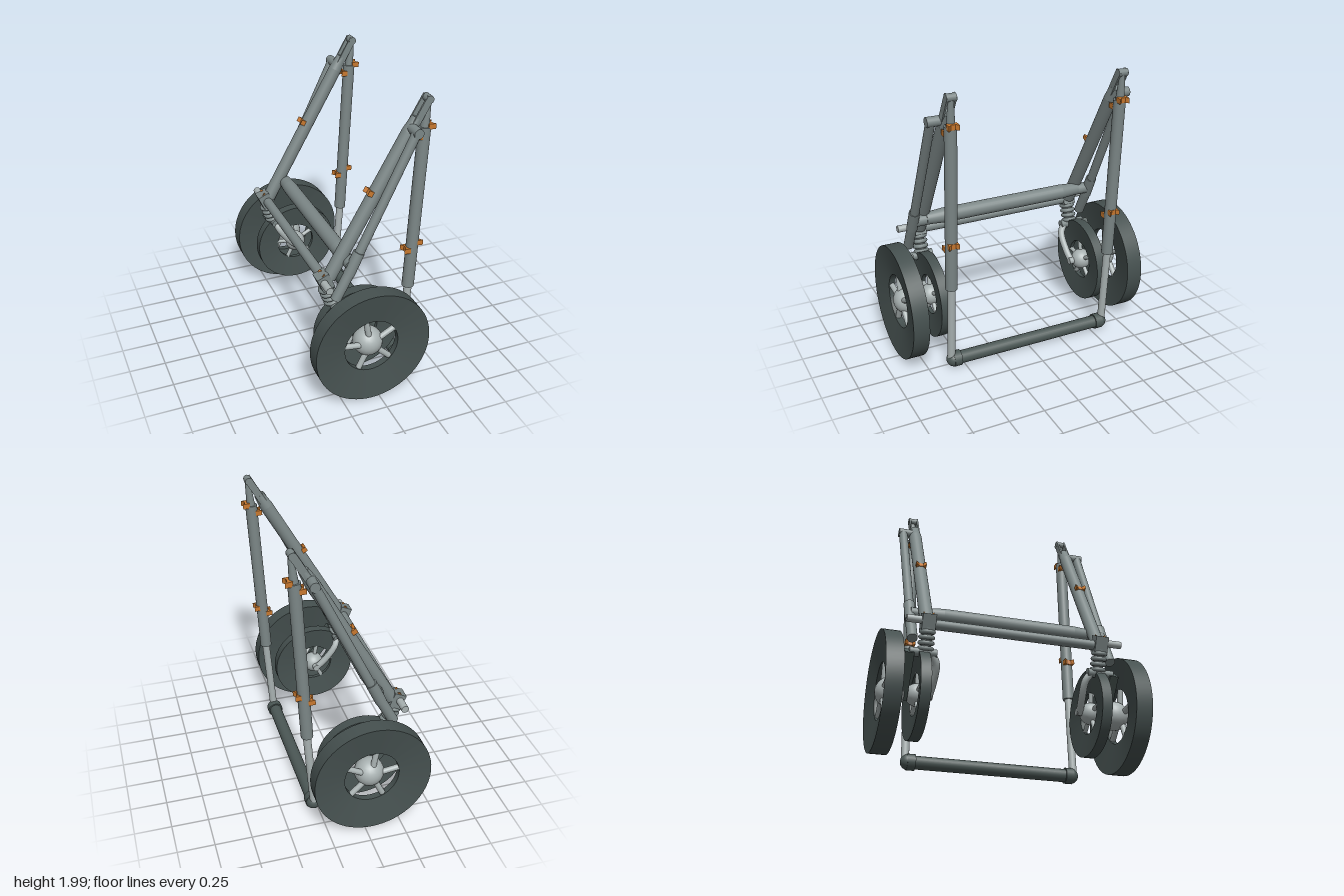
import * as THREE from 'three';
import { toCreasedNormals } from 'three/addons/utils/BufferGeometryUtils.js';

const flat = (name, color) => {
  const m = new THREE.MeshStandardMaterial({ color });
  m.name = name;
  return m;
};

export function createModel() {
  const steel = flat('steel grey', 0x7c8787);
  const light = flat('light metal', 0xa9b2b2);
  const dark = flat('dark metal', 0x4c5856);
  const rubber = flat('dark rubber', 0x465150);
  const orange = flat('orange', 0xc9792f);

  const root = new THREE.Group();
  root.name = 'landingGear';
  const v = (x, y, z) => new THREE.Vector3(x, y, z);
  const UP = v(0, 1, 0);

  const add = (parent, name, geo, mat, x = 0, y = 0, z = 0, rz = 0) => {
    const m = new THREE.Mesh(geo, mat);
    m.name = name;
    m.position.set(x, y, z);
    m.rotation.z = rz;
    parent.add(m);
    return m;
  };
  // Round bar between two points, r1 at a and r2 at b
  const rod = (parent, name, mat, a, b, r1, r2 = r1) => {
    const d = b.clone().sub(a);
    const m = add(parent, name, new THREE.CylinderGeometry(r2, r1, d.length(), 24), mat);
    m.position.copy(a).add(b).multiplyScalar(0.5);
    m.quaternion.setFromUnitVectors(UP, d.normalize());
    return m;
  };
  const ball = (parent, name, mat, p, r) =>
    add(parent, name, new THREE.SphereGeometry(r, 24, 16), mat, p.x, p.y, p.z);

  // Dished wheel with an open centre, spokes and a round hub
  const wheel = (parent, name, z, R, w, hubZ, hubR) => {
    const g = new THREE.Group();
    g.name = name;
    g.position.set(-0.05, 0.41, z);
    parent.add(g);
    const ri = R * 0.47, h = w / 2;
    const profile = [[ri, -h * 0.4], [R, -h], [R, h], [ri, h * 0.4], [ri, -h * 0.4]]
      .map(([x, y]) => new THREE.Vector2(x, y));
    const tyre = new THREE.LatheGeometry(profile, 64);
    tyre.rotateX(Math.PI / 2);
    add(g, 'tyre', toCreasedNormals(tyre, 0.5), rubber);
    ball(g, 'hub', light, v(0, 0, hubZ), hubR);
    for (let i = 0; i < 5; i++) {
      const a = 1.75 + (i * Math.PI * 2) / 5;
      rod(g, 'spoke', light, v(0, 0, 0), v(Math.cos(a) * (ri + 0.01), Math.sin(a) * (ri + 0.01), 0), R * 0.05);
    }
  };

  // Small orange clip with a notched outer face
  const clipShape = new THREE.Shape([[-0.02, -0.035], [0.03, -0.035], [0.012, -0.015],
    [0.012, 0.015], [0.03, 0.035], [-0.02, 0.035]].map(([x, y]) => new THREE.Vector2(x, y)));
  const clipGeo = new THREE.ExtrudeGeometry(clipShape, { depth: 0.036, bevelEnabled: false });
  clipGeo.translate(0, 0, -0.018);
  clipGeo.rotateX(Math.PI / 2);

  for (const s of [1, -1]) {
    const g = new THREE.Group();
    g.name = s > 0 ? 'frontSide' : 'backSide';
    root.add(g);
    const Z = s * 0.595, ZS = s * 0.685;

    // Telescoping leg
    rod(g, 'lowerLeg', light, v(0.28, 0.06, Z), v(0.325, 0.66, Z), 0.027);
    rod(g, 'upperLeg', steel, v(0.322, 0.64, Z), v(0.387, 1.79, Z), 0.041);
    rod(g, 'legTip', steel, v(0.387, 1.78, Z), v(0.405, 1.96, Z), 0.03, 0.018);
    rod(g, 'footCap', dark, v(0.28, 0.06, s * 0.53), v(0.28, 0.06, s * 0.585), 0.055);
    ball(g, 'footBall', dark, v(0.28, 0.06, s * 0.575), 0.053);

    // Diagonal beam with a forked top
    rod(g, 'beam', steel, v(-0.25, 0.84, Z), v(0.28, 1.77, Z), 0.046, 0.046);
    rod(g, 'beamTaper', steel, v(0.28, 1.77, Z), v(0.33, 1.86, Z), 0.046, 0.034);
    for (const k of [-1, 1]) {
      add(g, 'forkProng', new THREE.BoxGeometry(0.05, 0.2, 0.012), steel, 0.355, 1.9, Z + k * 0.027, -0.52);
    }
    rod(g, 'topPin', steel, v(0.4, 1.973, Z - 0.034), v(0.4, 1.973, Z + 0.034), 0.026);

    // Outer strut with a pivot and a lower sleeve
    rod(g, 'strut', steel, v(-0.1, 0.99, ZS), v(0.29, 1.8, ZS), 0.031);
    rod(g, 'strutPivot', steel, v(0.29, 1.8, s * 0.6), v(0.29, 1.8, s * 0.717), 0.033);
    rod(g, 'strutSleeve', steel, v(-0.15, 0.89, ZS), v(-0.08, 1.04, ZS), 0.038);
    rod(g, 'strutEnd', steel, v(-0.24, 0.72, ZS), v(-0.14, 0.91, ZS), 0.035);
    rod(g, 'strutPin', steel, v(-0.13, 0.95, s * 0.56), v(-0.13, 0.95, ZS), 0.04);

    // Clamp block at the bottom of the beam
    add(g, 'clamp', new THREE.BoxGeometry(0.085, 0.11, 0.09), steel, -0.285, 0.825, Z, 0.42);
    rod(g, 'clampPin', light, v(-0.3, 0.83, Z), v(-0.3, 0.83, s * 0.74), 0.025);

    // Spring and yoke around the small wheel
    const top = v(-0.28, 0.79, Z), low = v(-0.23, 0.655, Z);
    rod(g, 'springCore', steel, top, low, 0.035);
    for (let i = 0; i < 4; i++) {
      const p = top.clone().lerp(low, 0.2 + i * 0.25);
      const ring = add(g, 'springCoil', new THREE.TorusGeometry(0.04, 0.015, 10, 24), steel, p.x, p.y, p.z);
      ring.quaternion.setFromUnitVectors(v(0, 0, 1), low.clone().sub(top).normalize());
    }
    rod(g, 'yokeCrown', steel, v(-0.225, 0.635, s * 0.52), v(-0.225, 0.635, s * 0.7), 0.03);
    const arm = new THREE.CatmullRomCurve3([v(-0.225, 0.635, s * 0.55), v(-0.2, 0.58, s * 0.515),
      v(-0.12, 0.47, s * 0.515), v(-0.05, 0.4, s * 0.525)]);
    add(g, 'innerArm', new THREE.TubeGeometry(arm, 20, 0.025, 12), light);
    add(g, 'outerArm', new THREE.BoxGeometry(0.09, 0.32, 0.06), dark, -0.135, 0.51, s * 0.7, 0.65);
    rod(g, 'axle', light, v(-0.05, 0.41, s * 0.5), v(-0.05, 0.41, s * 0.8), 0.025);

    // Wheels
    wheel(g, 'mainWheel', s * 0.822, 0.4, 0.115, -s * 0.045, 0.1);
    wheel(g, 'innerWheel', s * 0.605, 0.3, 0.07, 0, 0.075);

    // Clips on the legs and beam: x, y, turn
    for (const [x, y, a] of [[0.42, 1.795, -0.06], [0.348, 1.735, 3.08], [0.372, 0.975, -0.06],
      [0.3, 0.925, 3.08], [0.027, 1.4, 2.62], [-0.285, 0.86, 2.62]]) {
      add(g, 'clip', clipGeo, orange, x, y, Z, a);
    }
  }

  // Cross bars joining both sides
  rod(root, 'footBar', dark, v(0.28, 0.06, -0.57), v(0.28, 0.06, 0.57), 0.045);
  rod(root, 'lowerCrossBar', steel, v(-0.275, 0.818, -0.57), v(-0.275, 0.818, 0.57), 0.034);
  rod(root, 'upperCrossBar', steel, v(-0.13, 0.955, -0.46), v(-0.13, 0.955, 0.46), 0.052);
  for (const s of [1, -1]) {
    rod(root, 'crossBarEnd', steel, v(-0.13, 0.955, s * 0.46), v(-0.13, 0.955, s * 0.59), 0.052, 0.042);
  }
  return root;
}
